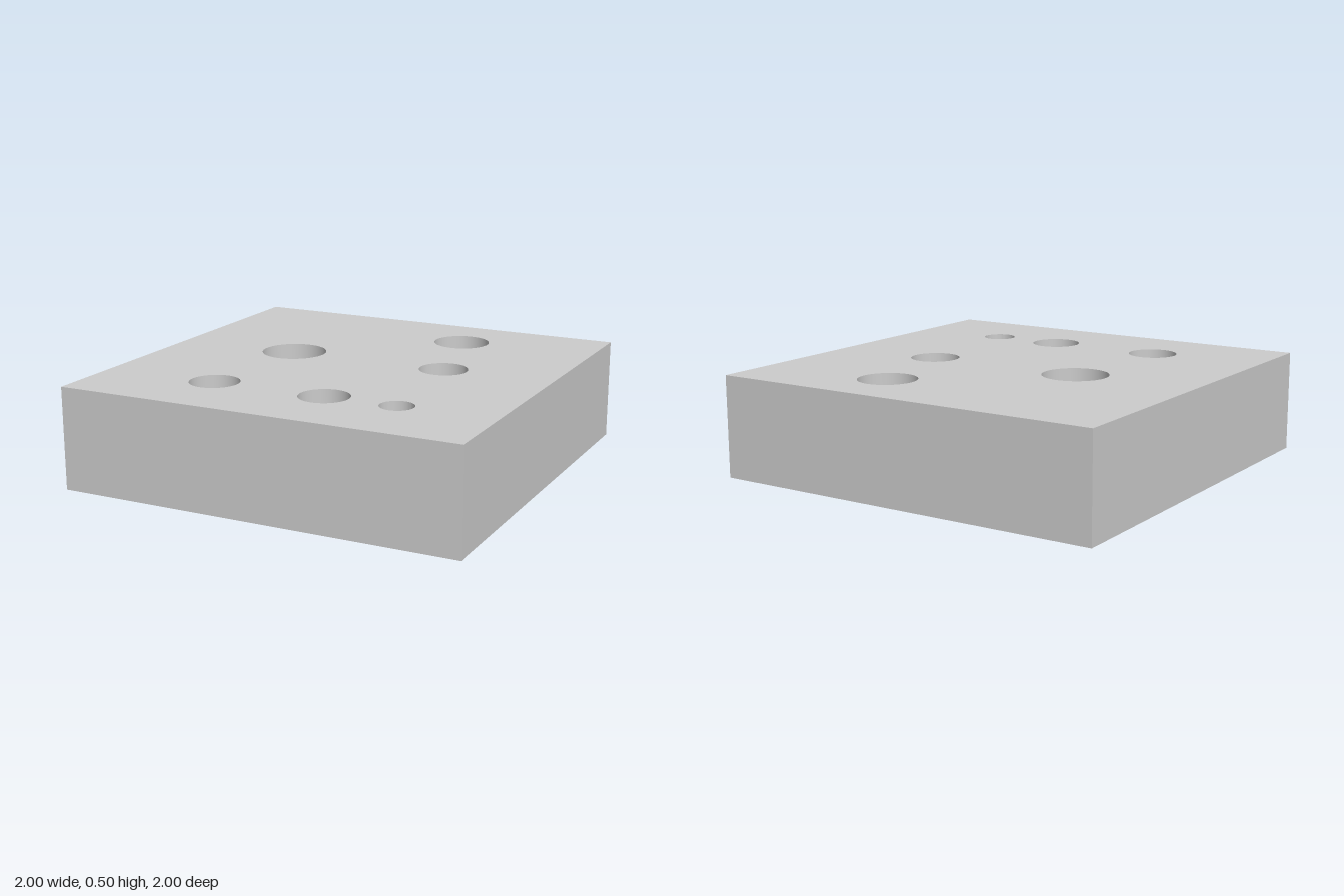
import * as THREE from 'three';
import { toCreasedNormals } from 'three/addons/utils/BufferGeometryUtils.js';

const SIZE = 2;
const THICKNESS = 0.5;

// Through holes: x, z, radius
const HOLES = [
  [0.305, -0.655, 0.143],
  [-0.375, -0.09, 0.161],
  [0.445, -0.09, 0.121],
  [-0.42, 0.6, 0.121],
  [0.157, 0.6, 0.121],
  [0.517, 0.6, 0.081],
];

export function createModel() {
  const group = new THREE.Group();
  group.name = 'drilledBlock';

  // Square outline, drawn with shape y = -z
  const h = SIZE / 2;
  const outline = new THREE.Shape([
    new THREE.Vector2(-h, -h),
    new THREE.Vector2(h, -h),
    new THREE.Vector2(h, h),
    new THREE.Vector2(-h, h),
  ]);
  for (const [x, z, r] of HOLES) {
    outline.holes.push(new THREE.Path().absarc(x, -z, r, 0, Math.PI * 2, true));
  }

  // Extrude upwards; smooth hole walls, sharp edges
  const extruded = new THREE.ExtrudeGeometry(outline, {
    depth: THICKNESS,
    bevelEnabled: false,
    curveSegments: 32,
  });
  extruded.rotateX(-Math.PI / 2);

  const block = new THREE.Mesh(
    toCreasedNormals(extruded, 0.5),
    new THREE.MeshStandardMaterial({ color: 0xcccccc })
  );
  block.name = 'block';
  group.add(block);
  return group;
}
